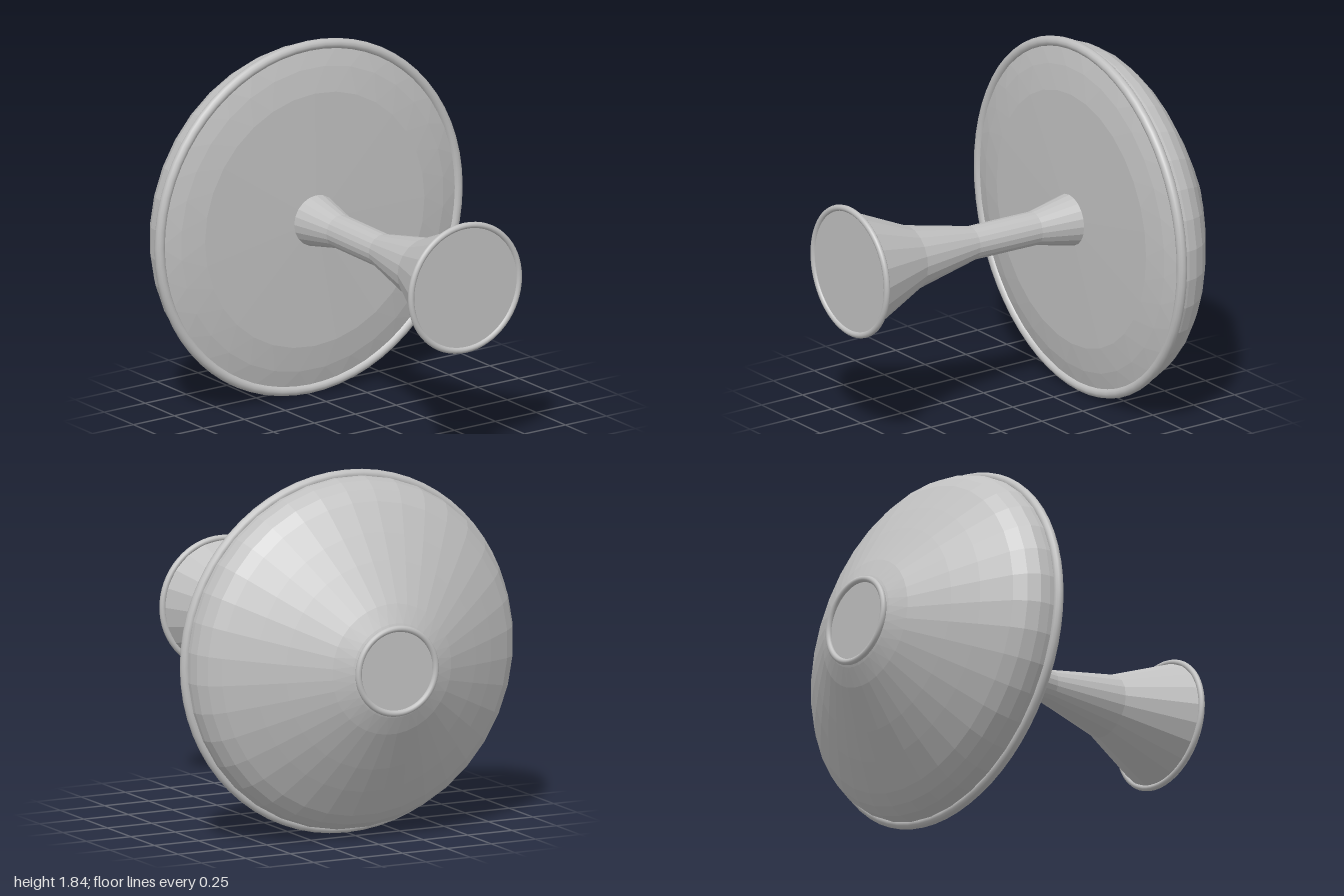
import * as THREE from 'three';

const grey = new THREE.MeshStandardMaterial({ color: 0xc0c0c0 });
grey.name = 'grey';

// Faceted solid of revolution along +x. Points are [x, radius, twist], twist in segments.
function turned(name, profile, segments) {
  const lathe = new THREE.LatheGeometry(profile.map(([x, r]) => new THREE.Vector2(r, x)), segments);
  const pos = lathe.attributes.position;
  const v = new THREE.Vector3();
  const up = new THREE.Vector3(0, 1, 0);
  for (let i = 0; i < pos.count; i++) {
    const twist = profile[i % profile.length][2] ?? 0;
    v.fromBufferAttribute(pos, i).applyAxisAngle(up, twist * Math.PI * 2 / segments);
    pos.setXYZ(i, v.x, v.y, v.z);
  }
  const geometry = lathe.toNonIndexed();
  geometry.rotateZ(-Math.PI / 2);
  geometry.computeVertexNormals();
  const mesh = new THREE.Mesh(geometry, grey);
  mesh.name = name;
  return mesh;
}

// Smooth round hoop around the x axis
function hoop(name, x, radius, tube) {
  const mesh = new THREE.Mesh(new THREE.TorusGeometry(radius, tube, 12, 64), grey);
  mesh.rotation.y = Math.PI / 2;
  mesh.position.x = x;
  mesh.name = name;
  return mesh;
}

export function createModel() {
  const model = new THREE.Group();
  model.name = 'model';

  // The whole body is turned very slightly about the vertical
  const body = new THREE.Group();
  body.name = 'body';
  body.position.set(0, 0.922, 0.003);
  body.rotation.y = -0.022;
  model.add(body);

  body.add(
    // Bowl wall with its closed small end
    turned('bowl', [
      [-0.975, 0], [-0.975, 0.215], [-0.965, 0.24], [-0.92, 0.332, 0.5],
      [-0.8, 0.53, 0.5], [-0.717, 0.658, 0.5], [-0.62, 0.797, 0.5],
      [-0.568, 0.85, 0.5], [-0.51, 0.883, 0.5], [-0.46, 0.893, 0.5], [-0.41, 0.893, 0.5],
    ], 36),
    // Shallow domed face with a pleated border
    turned('face', [
      [-0.405, 0.893], [-0.376, 0.79, 0.5], [-0.355, 0.66, 1], [-0.34, 0, 1],
    ], 32),
    // Waisted neck flaring to a flat end
    turned('neck', [
      [-0.35, 0.133], [-0.125, 0.086], [0.25, 0.086],
      [0.62, 0.164], [0.97, 0.318], [0.98, 0.318], [0.98, 0],
    ], 20),
    hoop('rimHoop', -0.41, 0.896, 0.026),
    hoop('smallHoop', -0.979, 0.215, 0.016),
    hoop('footHoop', 0.977, 0.324, 0.016),
  );
  return model;
}
